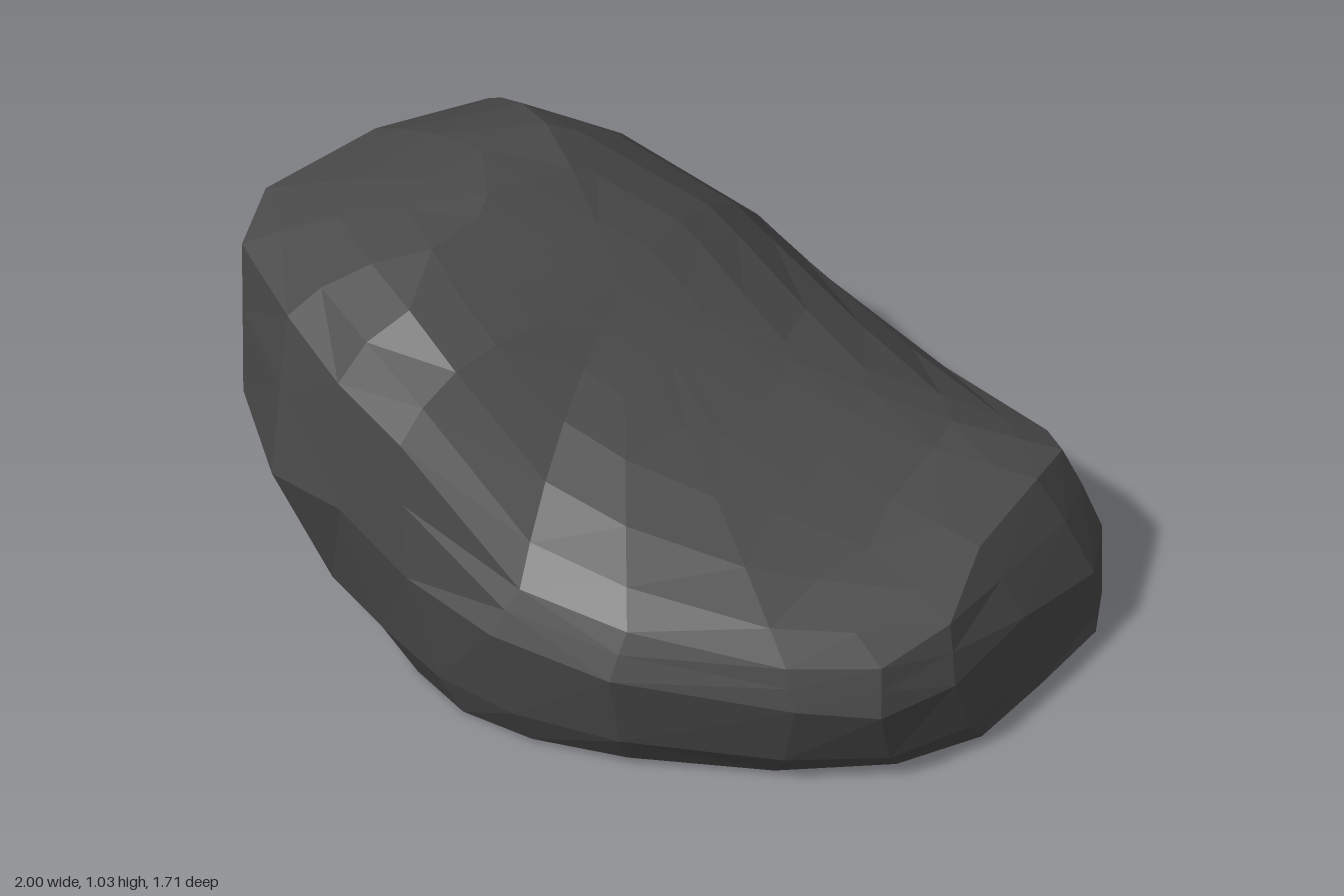
import * as THREE from 'three';

const stone = new THREE.MeshStandardMaterial({ color: 0x4c4c4c });
stone.name = 'darkStone';

// Contours [x, y, z], running counterclockwise seen from above, starting at -x
const base = [
  [-.72, .01, .1], [-.66, .01, .28], [-.52, .01, .46], [-.35, 0, .6], [-.18, 0, .69],
  [.02, .01, .72], [.26, .02, .69], [.58, .01, .56], [.82, .01, .4], [.95, .02, .22],
  [.98, .03, -.02], [1, .04, -.25], [.93, .03, -.41], [.77, .03, -.54], [.45, .03, -.63],
  [0, .03, -.82], [-.2, .03, -.86], [-.34, .02, -.74], [-.48, .01, -.47], [-.6, .01, -.34],
  [-.68, .01, -.13],
];
const waist = [
  [-.97, .48, .15], [-.93, .48, .39], [-.74, .44, .6], [-.5, .49, .71], [-.28, .42, .79],
  [-.02, .38, .85], [.28, .33, .82], [.69, .28, .66], [.86, .25, .55], [.95, .25, .35],
  [.975, .27, .06], [.99, .2, -.26], [.93, .22, -.41], [.76, .22, -.53], [.45, .22, -.63],
  [.02, .25, -.79], [-.2, .28, -.83], [-.52, .42, -.7], [-.69, .4, -.66], [-.78, .42, -.55],
  [-.88, .46, -.17],
];
const rim = [
  [-1, .89, .15], [-.95, .88, .36], [-.72, .88, .56], [-.52, .83, .68], [-.3, .79, .78],
  [.03, .5, .8], [.3, .45, .77], [.66, .39, .65], [.85, .38, .53], [.92, .4, .32],
  [.88, .47, .1], [.87, .47, -.2], [.84, .43, -.38], [.74, .38, -.49], [.4, .37, -.61],
  [0, .41, -.75], [-.15, .47, -.78], [-.5, .66, -.68], [-.66, .67, -.64], [-.77, .8, -.52],
  [-.88, .9, -.17],
];

// Height of the sloping crest along x
const crest = [[-1, .89], [-.8, .97], [-.63, 1.02], [-.45, 1.03], [-.2, .91], [0, .8],
  [.2, .69], [.4, .6], [.63, .51], [.86, .47], [1, .4]];
function crestHeight(x) {
  let i = 0;
  while (i < crest.length - 2 && x > crest[i + 1][0]) i++;
  const [x0, y0] = crest[i], [x1, y1] = crest[i + 1];
  return THREE.MathUtils.lerp(y0, y1, (x - x0) / (x1 - x0));
}

function blend(a, b, side, up) {
  return a.map((p, i) => p.map((v, k) => v + (b[i][k] - v) * (k === 1 ? up : side)));
}

// Shrink the rim towards the middle while rising to the crest;
// the high front corner is steep, the back falls off gently
const middle = [-.1, .05];
function topRing(s) {
  return rim.map(([rx, ry, rz]) => {
    const x = middle[0] + (rx - middle[0]) * s;
    const z = middle[1] + (rz - middle[1]) * s;
    const steepness = rz < 0 ? 2.6 : rx < -.2 ? 6 : 3;
    return [x, crestHeight(x) - (crestHeight(rx) - ry) * s ** steepness, z];
  });
}

function distance(p, q) {
  return Math.hypot(p[0] - q[0], p[1] - q[1], p[2] - q[2]);
}

function boulderGeometry() {
  const rings = [base, blend(base, waist, .45, .28), waist, blend(waist, rim, .5, .55), rim,
    ...[.9, .75, .57, .38, .19].map(topRing)];
  const n = base.length;
  const points = rings.flat();
  const index = [];
  for (let r = 0; r < rings.length - 1; r++) {
    for (let i = 0; i < n; i++) {
      const j = (i + 1) % n;
      const a = r * n + i, b = r * n + j, c = b + n, d = a + n;
      // Split each facet along its shorter diagonal
      if (distance(points[a], points[c]) < distance(points[b], points[d])) {
        index.push(a, b, c, a, c, d);
      } else {
        index.push(a, b, d, b, c, d);
      }
    }
  }
  // Close the underside and the top with fans
  const under = points.length, peak = under + 1, last = (rings.length - 1) * n;
  points.push([0, .02, 0], [middle[0], crestHeight(middle[0]), middle[1]]);
  for (let i = 0; i < n; i++) {
    const j = (i + 1) % n;
    index.push(under, j, i, last + i, last + j, peak);
  }
  const indexed = new THREE.BufferGeometry();
  indexed.setAttribute('position', new THREE.Float32BufferAttribute(points.flat(), 3));
  indexed.setIndex(index);
  const faceted = indexed.toNonIndexed();
  faceted.computeVertexNormals();
  return faceted;
}

export function createModel() {
  const group = new THREE.Group();
  group.name = 'rock';
  const boulder = new THREE.Mesh(boulderGeometry(), stone);
  boulder.name = 'boulder';
  group.add(boulder);
  return group;
}
